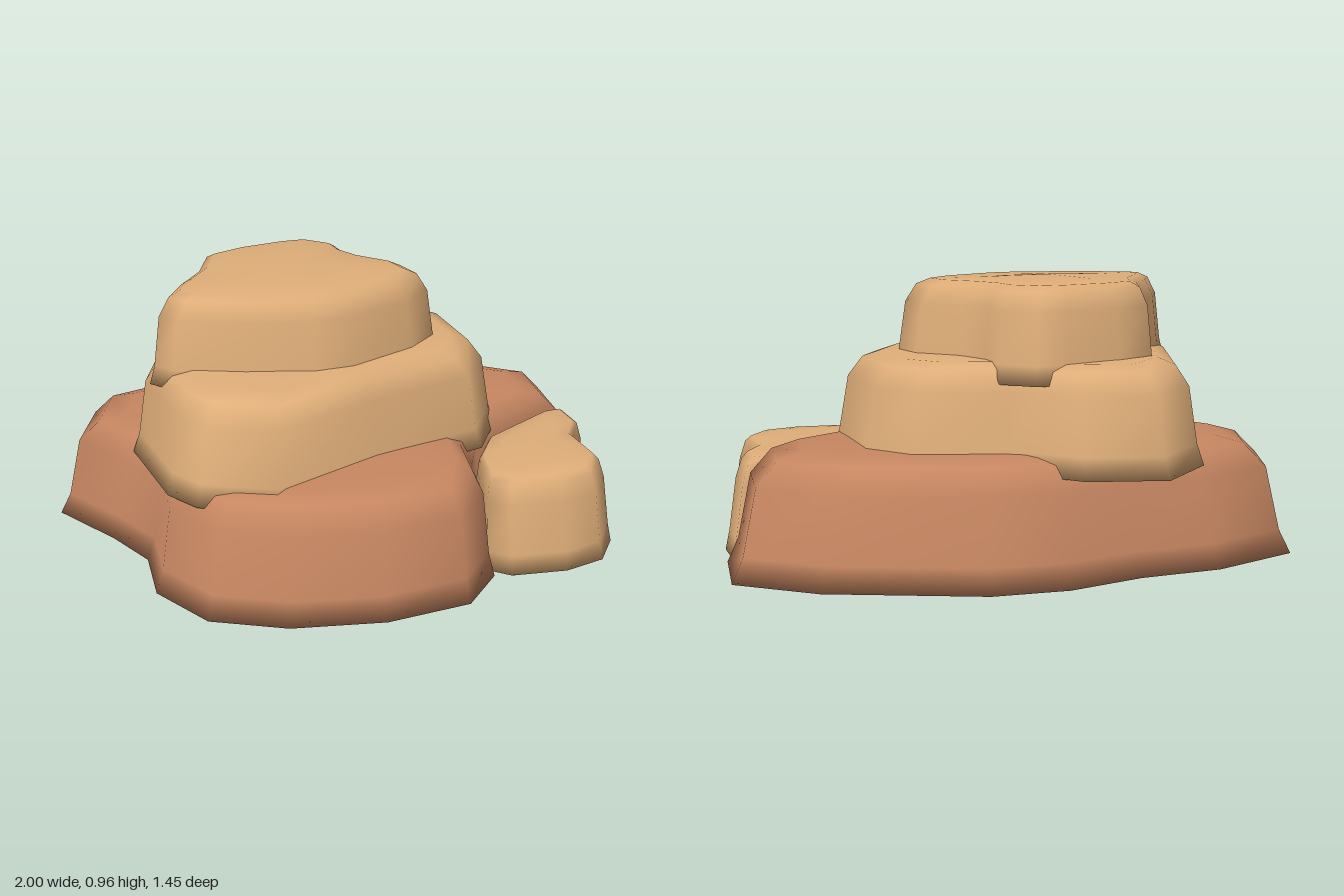
import * as THREE from 'three';

// Height fraction and outline scale of each ring, from foot to rounded top edge
const PROFILE = [[0, 1], [0.2, 0.96], [0.74, 0.91], [0.93, 0.835], [0.99, 0.74], [1, 0.4]];

// Smooth boulder slab: an outline (clockwise from above) scaled towards its centre ring by ring
function slab(name, material, { outline, center: [cx, cz], y0, y1, dome = 0.01, lean = [0, 0], taper = 1 }) {
  const n = outline.length;
  const pos = [];
  const index = [];
  for (const [t, s] of PROFILE) {
    const k = 1 - (1 - s) * taper;
    for (const [x, z] of outline) {
      pos.push(cx + (x - cx) * k + lean[0] * t, y0 + (y1 - y0) * t, cz + (z - cz) * k + lean[1] * t);
    }
  }
  const bottom = PROFILE.length * n;
  const top = bottom + 1;
  pos.push(cx, y0, cz, cx + lean[0], y1 + dome, cz + lean[1]);
  const last = (PROFILE.length - 1) * n;
  for (let i = 0; i < n; i++) {
    const j = (i + 1) % n;
    for (let r = 0; r < last; r += n) {
      index.push(r + i, r + n + i, r + j, r + j, r + n + i, r + n + j);
    }
    index.push(bottom, i, j, top, last + j, last + i);
  }
  const geo = new THREE.BufferGeometry();
  geo.setAttribute('position', new THREE.Float32BufferAttribute(pos, 3));
  geo.setIndex(index);
  geo.computeVertexNormals();
  const mesh = new THREE.Mesh(geo, material);
  mesh.name = name;
  return mesh;
}

export function createModel() {
  const redRock = new THREE.MeshStandardMaterial({ color: 0xc68661 });
  redRock.name = 'red rock';
  const sandstone = new THREE.MeshStandardMaterial({ color: 0xdfae79 });
  sandstone.name = 'sandstone';

  const group = new THREE.Group();
  group.name = 'layeredRock';

  // Wide base with a notch at the front left
  group.add(slab('baseLayer', redRock, {
    outline: [[-1, -0.29], [-0.91, -0.54], [-0.59, -0.635], [-0.3, -0.64], [-0.03, -0.69], [0.23, -0.67],
      [0.74, -0.48], [0.995, -0.3], [0.98, -0.04], [0.52, 0.2], [0.45, 0.34], [0.42, 0.55], [0.28, 0.69],
      [-0.02, 0.72], [-0.34, 0.67], [-0.59, 0.56], [-0.73, 0.35], [-0.73, 0.13], [-0.83, -0.05]],
    center: [0, 0], y0: 0, y1: 0.415, dome: 0.005,
  }));

  // Middle step
  group.add(slab('middleLayer', sandstone, {
    outline: [[-0.355, -0.725], [-0.09, -0.66], [0.03, -0.54], [0.12, -0.49], [0.43, -0.4], [0.56, -0.26],
      [0.59, 0.07], [0.47, 0.25], [0.06, 0.35], [-0.34, 0.51], [-0.585, 0.41], [-0.665, 0.3],
      [-0.735, -0.05], [-0.64, -0.32], [-0.555, -0.56]],
    center: [-0.08, -0.1], y0: 0.345, y1: 0.705, dome: 0.005,
  }));

  // Top step
  group.add(slab('topLayer', sandstone, {
    outline: [[-0.67, 0.03], [-0.6, -0.1], [-0.5, -0.24], [-0.435, -0.42], [-0.29, -0.48], [-0.08, -0.52],
      [0.03, -0.52], [0.135, -0.43], [0.15, -0.33], [0.215, -0.22], [0.34, -0.1], [0.375, 0.02],
      [0.26, 0.12], [0.01, 0.225], [-0.13, 0.235], [-0.37, 0.18], [-0.61, 0.09]],
    center: [-0.14, -0.14], y0: 0.635, y1: 0.955, dome: 0.01, taper: 0.95,
  }));

  // Small boulder in the notch
  group.add(slab('sideBoulder', sandstone, {
    outline: [[0.885, -0.015], [0.96, -0.02], [0.97, 0.11], [0.895, 0.23], [0.915, 0.44], [0.83, 0.55],
      [0.68, 0.585], [0.48, 0.565], [0.41, 0.51], [0.44, 0.32], [0.54, 0.17]],
    center: [0.67, 0.3], y0: 0, y1: 0.35, dome: 0.008, lean: [-0.03, -0.02], taper: 0.8,
  }));

  return group;
}
